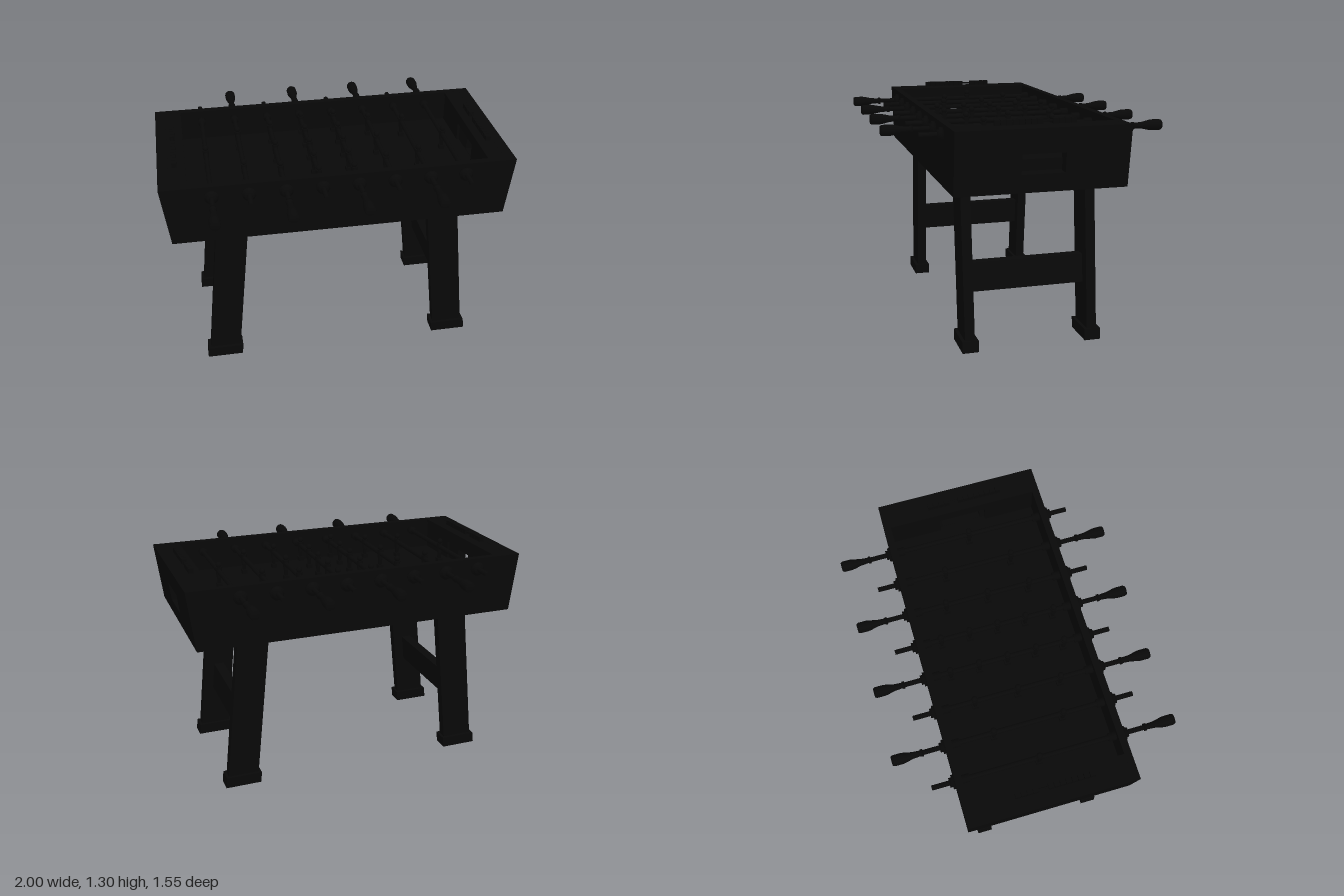
import * as THREE from 'three';

const TOP = 1.265, BOTTOM = 0.92, HALF_Z = 0.477;
const SLOPE = 0.045 / (TOP - BOTTOM); // outward lean of the cabinet ends
const ROD_Y = 1.205;

export function createModel() {
  const model = new THREE.Group();
  model.name = 'tableFootball';
  const mat = new THREE.MeshStandardMaterial({ color: 0x080808 });

  const add = (name, geo, x = 0, y = 0, z = 0, parent = model) => {
    const m = new THREE.Mesh(geo, mat);
    m.name = name;
    m.position.set(x, y, z);
    parent.add(m);
    return m;
  };
  const box = (name, w, h, d, x, y, z, parent) =>
    add(name, new THREE.BoxGeometry(w, h, d), x, y, z, parent);
  const polygon = (pts) => new THREE.Shape(pts.map(([x, y]) => new THREE.Vector2(x, y)));
  const extrude = (shape, depth) =>
    new THREE.ExtrudeGeometry(shape, { depth, bevelEnabled: false, curveSegments: 4 });
  // lathe whose axis runs along +z
  const latheZ = (pts, seg = 16) =>
    new THREE.LatheGeometry(pts.map(([r, z]) => new THREE.Vector2(r, z)), seg).rotateX(Math.PI / 2);

  // Long side walls, narrower at the bottom
  const sideShape = polygon([[-0.955, BOTTOM], [0.955, BOTTOM], [1, TOP], [-1, TOP]]);
  for (const z of [-HALF_Z, HALF_Z - 0.04]) add('sideWall', extrude(sideShape, 0.04), 0, 0, z);

  // Board across the table with a rectangular goal opening
  const goalBoard = (y0, y1, hw, h0, h1, depth) => {
    const w = HALF_Z - 0.035;
    const s = polygon([[-w, y0], [w, y0], [w, y1], [-w, y1]]);
    s.holes.push(polygon([[-hw, h0], [-hw, h1], [hw, h1], [hw, h0]]));
    return extrude(s, depth).rotateY(Math.PI / 2);
  };
  for (const s of [-1, 1]) {
    const end = new THREE.Group();
    end.name = s > 0 ? 'leftEnd' : 'rightEnd';
    end.rotation.y = s > 0 ? 0 : Math.PI;
    model.add(end);

    // Leaning outer wall
    const wall = goalBoard(BOTTOM, TOP, 0.12, 1.02, 1.13, 0.06);
    const p = wall.attributes.position;
    for (let i = 0; i < p.count; i++) p.setX(i, p.getX(i) + 0.94 + (p.getY(i) - TOP) * SLOPE);
    wall.computeVertexNormals();
    add('endWall', wall, 0, 0, 0, end);

    // Inner goal wall, goal floor and ledge
    add('goalWall', goalBoard(0.93, TOP - 0.01, 0.14, 1.08, 1.19, 0.015), 0.85, 0, 0, end);
    box('goalFloor', 0.07, 0.015, 0.3, 0.89, 1.01, 0, end);
    box('endLedge', 0.11, 0.02, 2 * HALF_Z - 0.07, 0.9, TOP - 0.0105, 0, end);
  }
  box('cabinetBottom', 1.9, 0.02, 2 * HALF_Z - 0.02, 0, BOTTOM + 0.011, 0);
  box('playingField', 1.71, 0.02, 2 * HALF_Z - 0.06, 0, 1.07, 0);

  // Score counters along each end
  for (const x of [-0.905, 0.905]) {
    const score = new THREE.Group();
    score.name = 'scoreCounter';
    model.add(score);
    add('scoreRod', new THREE.CylinderGeometry(0.005, 0.005, 0.42, 8).rotateX(Math.PI / 2), x, 1.287, 0.027, score);
    for (let i = 0; i < 12; i++) {
      const z = i < 8 ? 0.235 - i * 0.033 : -0.08 - (i - 8) * 0.033;
      box('scoreBead', 0.028, 0.028, 0.029, x, 1.286, z, score);
    }
  }

  // Splayed legs with shoes, joined in pairs by a stretcher
  const lean = (y) => 0.712 - y * 0.103; // leg centre line
  const legPart = (hw, y0, y1, depth) => extrude(polygon([
    [lean(y0) - hw, y0], [lean(y0) + hw, y0], [lean(y1) + hw, y1], [lean(y1) - hw, y1],
  ]), depth).translate(0, 0, -depth / 2);
  for (const s of [-1, 1]) {
    const frame = new THREE.Group();
    frame.name = s > 0 ? 'leftLegFrame' : 'rightLegFrame';
    frame.rotation.y = s > 0 ? 0 : Math.PI;
    model.add(frame);
    for (const z of [-0.357, 0.357]) {
      add('leg', legPart(0.091, 0.02, BOTTOM + 0.005, 0.056), 0, 0, z, frame);
      add('foot', legPart(0.106, 0, 0.064, 0.093), 0, 0, z, frame);
    }
    add('stretcher', legPart(0.03, 0.315, 0.477, 0.68), 0, 0, 0, frame);
  }

  // Shapes shared by the rods
  const handleGeo = latheZ([
    [0, 0.6], [0.021, 0.6], [0.021, 0.612], [0.016, 0.618], [0.019, 0.66], [0.029, 0.705],
    [0.031, 0.72], [0.031, 0.765], [0.026, 0.776], [0, 0.776],
  ]);
  const bushingGeo = latheZ([
    [0, 0.474], [0.04, 0.474], [0.04, 0.492], [0.027, 0.492], [0.027, 0.507], [0, 0.507],
  ]);
  const bumperGeo = latheZ([[0, 0.395], [0.024, 0.395], [0.024, 0.437], [0, 0.437]]);
  const rodGeo = new THREE.CylinderGeometry(0.014, 0.014, 1.21, 14).rotateX(Math.PI / 2);
  const headGeo = new THREE.SphereGeometry(0.017, 12, 8);
  const torsoGeo = new THREE.CylinderGeometry(0.019, 0.015, 0.06, 10);
  const legsGeo = new THREE.CylinderGeometry(0.014, 0.012, 0.06, 4, 1).rotateY(Math.PI / 4);
  const footGeo = new THREE.BoxGeometry(0.03, 0.024, 0.036);

  const lineups = [[0], [-0.2, 0.2], [-0.25, 0, 0.25], [-0.335, -0.167, 0, 0.167, 0.335]];
  for (let i = 0; i < 8; i++) {
    const rod = new THREE.Group();
    rod.name = 'playerRod';
    rod.position.set(-0.72 + i * 0.2037, ROD_Y, 0);
    rod.rotation.y = i % 2 ? Math.PI : 0; // handles alternate sides
    model.add(rod);
    add('rod', rodGeo, 0, 0, 0, rod);
    add('handle', handleGeo, 0, 0, 0, rod);
    for (const turn of [0, Math.PI]) {
      add('bushing', bushingGeo, 0, 0, 0, rod).rotation.y = turn;
      add('bumper', bumperGeo, 0, 0, 0, rod).rotation.y = turn;
    }
    // Player figures
    for (const z of lineups[Math.min(i, 7 - i)]) {
      const player = new THREE.Group();
      player.name = 'player';
      player.position.z = z;
      rod.add(player);
      add('head', headGeo, 0, 0.038, 0, player);
      add('torso', torsoGeo, 0, -0.005, 0, player);
      add('legs', legsGeo, 0, -0.055, 0, player);
      add('foot', footGeo, 0, -0.084, 0, player);
    }
  }
  return model;
}
